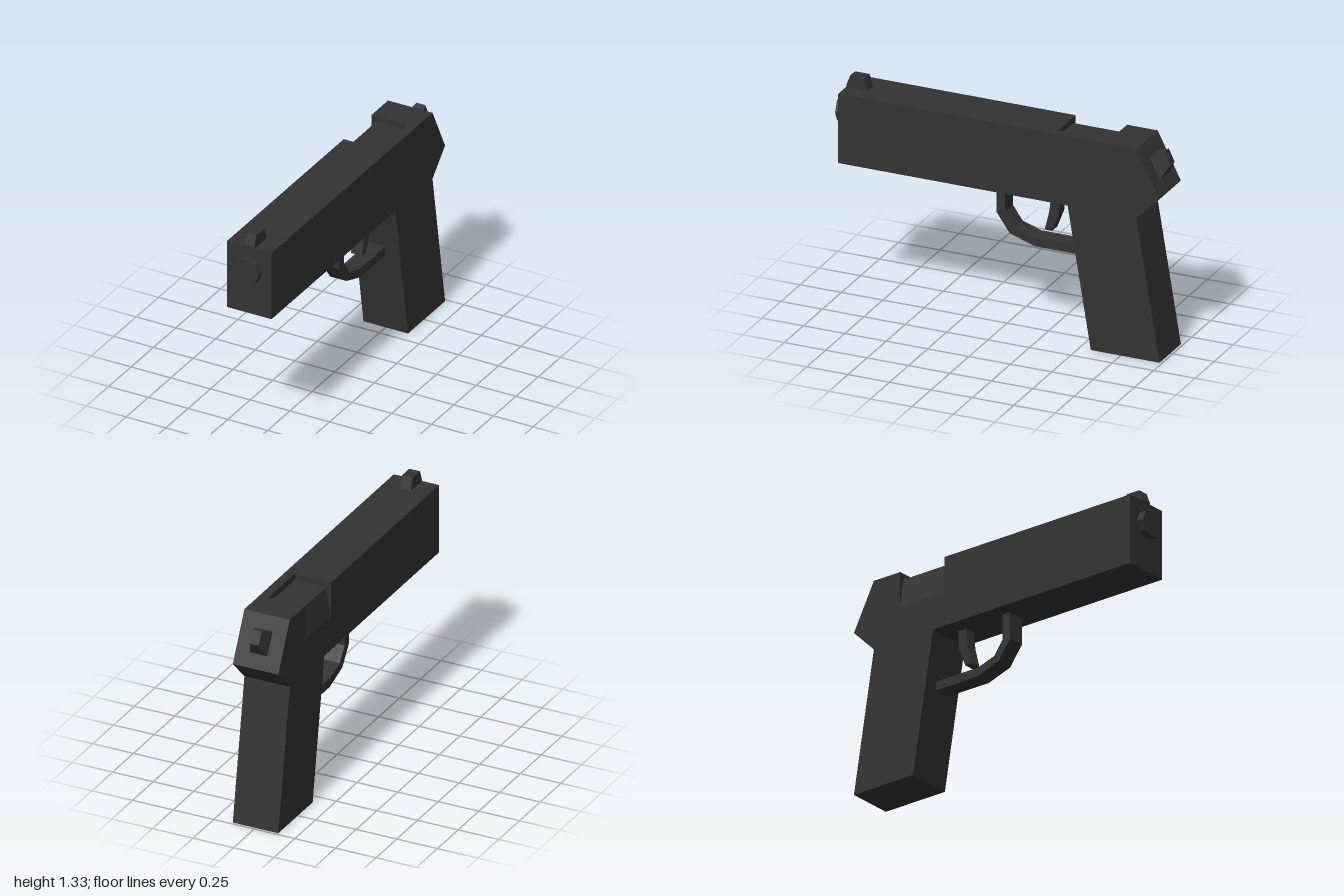
import * as THREE from 'three';

const W = 0.28; // overall body width
const material = new THREE.MeshStandardMaterial({ color: 0x333333, flatShading: true });

const shapeOf = (pts) => new THREE.Shape(pts.map(([a, b]) => new THREE.Vector2(a, b)));

// Side profile given as [z, y], extruded across x and centred
function sidePart(name, pts, width) {
  const geo = new THREE.ExtrudeGeometry(shapeOf(pts), { depth: width, bevelEnabled: false });
  geo.translate(0, 0, -width / 2).rotateY(-Math.PI / 2);
  return part(name, geo);
}

function part(name, geo) {
  const mesh = new THREE.Mesh(geo, material);
  mesh.name = name;
  return mesh;
}

export function createModel() {
  const model = new THREE.Group();
  model.name = 'pistol';

  // Slide and frame: front block, port section, angled rear
  const body = new THREE.Group();
  body.name = 'body';
  body.add(sidePart('frontBody',
    [[-0.35, 0.84], [0.955, 0.84], [0.955, 1.255], [-0.35, 1.255]], W));
  body.add(sidePart('rearBody',
    [[-0.66, 0.84], [-0.66, 1.255], [-0.845, 1.255], [-0.985, 0.98], [-0.845, 0.84]], W));

  // Ejection port: cross-section in [x, y], cut into the top and right side
  const port = new THREE.ExtrudeGeometry(shapeOf([
    [-0.14, 0.84], [0.14, 0.84], [0.14, 1.255], [0.085, 1.255],
    [0.085, 1.22], [-0.11, 1.22], [-0.14, 1.045],
  ]), { depth: 0.31, bevelEnabled: false });
  port.translate(0, 0, -0.66);
  body.add(part('ejectionPort', port));
  model.add(body);

  // Raked grip
  model.add(sidePart('grip', [[-0.43, 0.84], [-0.57, 0], [-0.985, 0], [-0.845, 0.84]], W));

  // Octagonal muzzle
  const muzzle = new THREE.CylinderGeometry(0.083, 0.083, 0.06, 8);
  muzzle.rotateX(Math.PI / 2).translate(0, 1.115, 0.97);
  model.add(part('muzzle', muzzle));

  model.add(sidePart('frontSight',
    [[0.955, 1.25], [0.955, 1.265], [0.933, 1.325], [0.845, 1.325], [0.82, 1.25]], 0.066));

  // Trigger guard: outer edge, then back along the inner edge
  model.add(sidePart('triggerGuard', [
    [0.04, 0.845], [0.04, 0.68], [-0.04, 0.567], [-0.19, 0.517], [-0.5, 0.517],
    [-0.5, 0.57], [-0.185, 0.57], [-0.07, 0.607], [-0.012, 0.69], [-0.012, 0.845],
  ], 0.104));

  model.add(sidePart('trigger', [
    [-0.285, 0.845], [-0.27, 0.73], [-0.243, 0.62], [-0.288, 0.62], [-0.33, 0.73], [-0.337, 0.845],
  ], 0.07));

  // Hammer: a block tapering away from the sloped rear face
  const hammer = new THREE.BoxGeometry(1, 1, 1);
  const p = hammer.attributes.position;
  for (let i = 0; i < p.count; i++) {
    const tip = p.getZ(i) < 0;
    const top = p.getY(i) > 0;
    const [z, y] = tip ? (top ? [-0.965, 1.213] : [-1, 1.14])
      : (top ? [-0.875, 1.175] : [-0.94, 1.045]);
    p.setXYZ(i, Math.sign(p.getX(i)) * (tip ? 0.027 : 0.056), y, z);
  }
  hammer.computeVertexNormals();
  model.add(part('hammer', hammer));

  return model;
}
